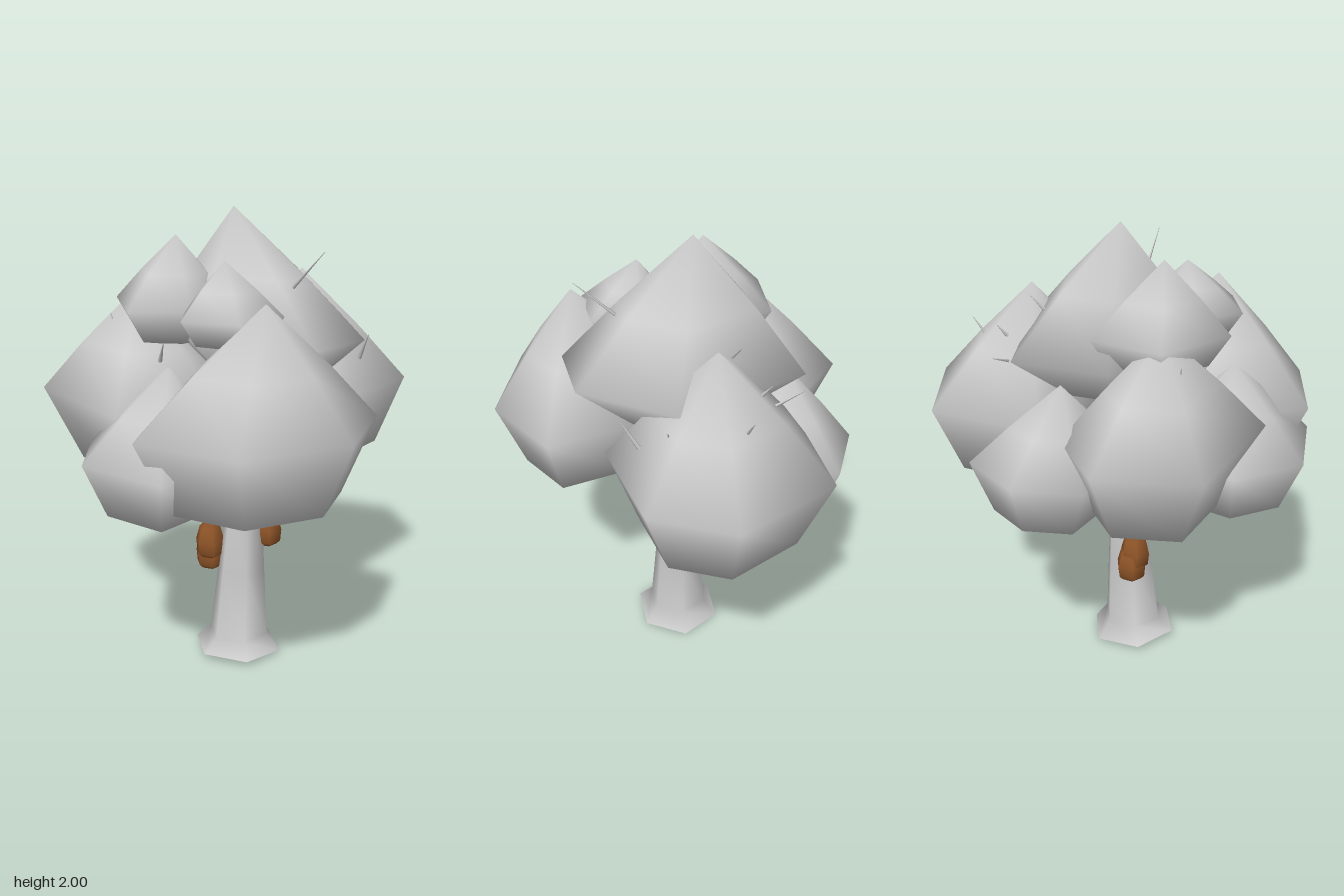
import * as THREE from 'three';
import { mergeVertices } from 'three/addons/utils/BufferGeometryUtils.js';

const gray = new THREE.MeshStandardMaterial({ color: 0xcccccc, side: THREE.DoubleSide });
gray.name = 'pale gray';
const brown = new THREE.MeshStandardMaterial({ color: 0x8f5528 });
brown.name = 'pod brown';

const V = (x, y, z) => new THREE.Vector3(x, y, z);

// Smooth skin through closed rings listed from bottom to top; a ring of one point is a pole
function loft(rings) {
  const n = Math.max(...rings.map((r) => r.length));
  const at = (r, i) => r[i % r.length];
  const pos = [];
  const tri = (...pts) => pts.forEach((p) => pos.push(p.x, p.y, p.z));
  for (let k = 0; k + 1 < rings.length; k++) {
    const lo = rings[k], hi = rings[k + 1];
    for (let i = 0; i < n; i++) {
      if (hi.length > 1) tri(at(lo, i), at(hi, i), at(hi, i + 1));
      if (lo.length > 1) tri(at(lo, i), at(hi, i + 1), at(lo, i + 1));
    }
  }
  const geo = new THREE.BufferGeometry();
  geo.setAttribute('position', new THREE.Float32BufferAttribute(pos, 3));
  const merged = mergeVertices(geo);
  merged.computeVertexNormals();
  return merged;
}

// Horizontal hexagon with a corner on the diagonal; slope tilts it along z
function ring(x, y, z, r, slope = 0) {
  return Array.from({ length: 6 }, (_, i) => {
    const a = Math.PI / 4 + (i * Math.PI) / 3;
    return V(x + r * Math.cos(a), y + slope * r * Math.sin(a), z + r * Math.sin(a));
  });
}

// Leaf clump: widest outline in x,z at height y, pointed top, rounded underside drawn in by taper
function clump(outline, y, apex, bottom, taper = 0.29) {
  const c = V(0, y, 0);
  outline.forEach(([x, z]) => c.add(V(x / outline.length, 0, z / outline.length)));
  const tip = V(...apex);
  const widest = outline.map(([x, z]) => V(x, y, z));
  const drop = y - bottom;
  const lower = widest.map((p) => p.clone().lerp(c, taper).setY(y - drop * 0.73));
  const upper = widest.map((p) => p.clone().lerp(tip, 0.47).add(
    V(p.x - c.x, 0, p.z - c.z).multiplyScalar(0.03)));
  return loft([[V(c.x, bottom, c.z)], lower, widest, upper, [tip]]);
}

// Tapered limb between two points
function limb(a, b, r0, r1, sides = 6) {
  const from = V(...a), to = V(...b);
  const geo = new THREE.CylinderGeometry(r1, r0, from.distanceTo(to), sides);
  const dir = to.clone().sub(from).normalize();
  geo.applyQuaternion(new THREE.Quaternion().setFromUnitVectors(V(0, 1, 0), dir));
  const mid = from.add(to).multiplyScalar(0.5);
  return geo.translate(mid.x, mid.y, mid.z);
}

export function createModel() {
  const tree = new THREE.Group();
  tree.name = 'tree';
  const add = (name, geo, mat = gray) => {
    const mesh = new THREE.Mesh(geo, mat);
    mesh.name = name;
    tree.add(mesh);
  };

  // Hexagonal trunk with flared, open foot
  add('trunk', loft([
    ring(0.037, 0.018, 0.09, 0.2, 0.08),
    ring(0.038, 0.09, 0.085, 0.135),
    ring(0.042, 0.4, 0.069, 0.109),
    ring(0.047, 0.78, 0.049, 0.078),
  ]));

  // Boughs reaching into the clumps: base, tip, radius
  [
    [[0.045, 0.72, 0.045], [0.05, 1.3, 0.02], 0.065],
    [[0.07, 0.71, 0.06], [0.3, 1.02, 0.33], 0.045],
    [[0.03, 0.74, 0.05], [-0.3, 1.05, 0.2], 0.04],
    [[0.05, 0.73, 0.03], [0.07, 0.98, -0.25], 0.047],
  ].forEach(([a, b, r]) => add('bough', limb(a, b, r, r * 0.75)));

  // Large clumps
  add('topClump', clump(
    [[0.55, -0.07], [0.49, 0.23], [0.05, 0.4], [-0.4, 0.05], [-0.33, -0.36], [0.27, -0.42]],
    1.49, [-0.02, 2, 0.03], 1.17, 0.56));
  add('backClump', clump(
    [[0.46, -0.12], [0.1, -0.07], [-0.37, -0.25], [-0.25, -0.74], [0.23, -0.84], [0.5, -0.59]],
    1.21, [0.08, 1.7, -0.37], 0.775));
  add('leftClump', clump(
    [[0.755, 0.4], [0.5, 0.785], [0.06, 0.83], [-0.12, 0.42], [0.2, 0], [0.66, 0.015]],
    1.21, [0.37, 1.695, 0.4], 0.785));
  add('rightClump', clump(
    [[0.08, 0.3], [-0.16, 0.66], [-0.73, 0.465], [-0.755, 0.045], [-0.45, -0.14], [-0.02, -0.06]],
    1.22, [-0.36, 1.67, 0.25], 0.775, 0.34));

  // Middle clumps under the crown
  add('frontClump', clump(
    [[0.24, 0.52], [0.19, 0.835], [-0.2, 0.825], [-0.385, 0.55], [-0.24, 0.22], [0.12, 0.22]],
    1.07, [-0.01, 1.425, 0.51], 0.755));
  add('backRightClump', clump(
    [[0, -0.2], [-0.25, 0.13], [-0.61, -0.01], [-0.625, -0.3], [-0.42, -0.53], [-0.1, -0.46]],
    1.07, [-0.36, 1.42, -0.15], 0.755));

  // Small clumps on the crown
  add('upperRightClump', clump(
    [[0.05, 0.15], [0, 0.37], [-0.21, 0.505], [-0.465, 0.265], [-0.36, -0.03], [-0.08, 0]],
    1.615, [-0.17, 1.895, 0.23], 1.43));
  add('upperLeftClump', clump(
    [[0.35, 0.23], [0.3, 0.47], [0.07, 0.53], [-0.04, 0.35], [0, 0.17], [0.2, 0.1]],
    1.615, [0.11, 1.82, 0.29], 1.47));

  // Twig tips piercing the leaves: base then tip
  [
    [[0.24, 1.64, 0.07], [0.46, 1.86, 0.12]],
    [[0.4, 1.34, -0.33], [0.46, 1.46, -0.29]],
    [[0.07, 1.42, -0.56], [0.07, 1.53, -0.64]],
    [[-0.1, 1.4, -0.41], [-0.28, 1.48, -0.45]],
    [[-0.07, 1.5, -0.44], [-0.1, 1.56, -0.48]],
    [[-0.02, 1.6, -0.28], [-0.04, 1.68, -0.35]],
    [[0.3, 1.38, -0.4], [0.33, 1.45, -0.44]],
    [[-0.15, 1.4, 0.38], [-0.1, 1.49, 0.42]],
    [[-0.42, 1.48, 0.32], [-0.44, 1.56, 0.34]],
  ].forEach(([a, b]) => add('twigTip', limb(a, b, 0.01, 0.001, 5)));

  // Hanging pods: centre x, bottom y, centre z
  [
    [-0.095, 0.43, 0.115],
    [-0.105, 0.37, 0.1],
    [0.128, 0.5, -0.008],
  ].forEach(([x, y, z]) => add('pod', loft([
    [V(x, y, z)],
    ring(x, y + 0.012, z, 0.046),
    ring(x, y + 0.03, z, 0.064),
    ring(x, y + 0.085, z, 0.069),
    ring(x, y + 0.15, z, 0.051),
    [V(x, y + 0.2, z)],
  ]), brown));

  return tree;
}
